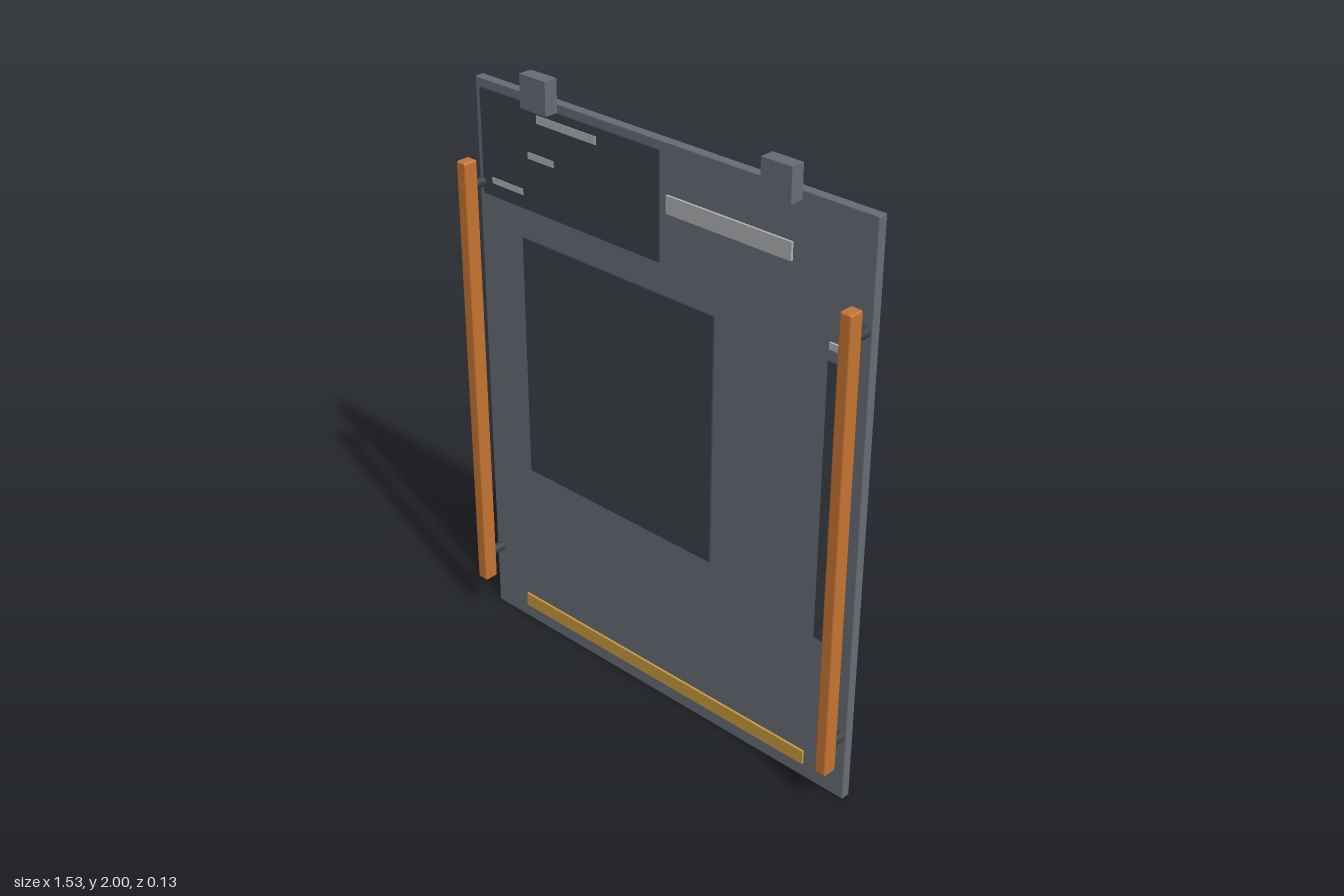
import * as THREE from 'three';
import { RoundedBoxGeometry } from 'three/addons/geometries/RoundedBoxGeometry.js';

const material = (name, color) => {
  const m = new THREE.MeshStandardMaterial({ color });
  m.name = name;
  return m;
};

export function createModel() {
  const model = new THREE.Group();
  model.name = 'panelWithRails';

  const grey = material('panel grey', 0x686d75);
  const dark = material('dark grey', 0x3b4047);
  const light = material('label grey', 0xb0b2b4);
  const gold = material('gold', 0xc99a3d);
  const copper = material('copper orange', 0xc87533);

  const panelFront = -0.031;

  const add = (name, geometry, mat, x, y, z) => {
    const mesh = new THREE.Mesh(geometry, mat);
    mesh.name = name;
    mesh.position.set(x, y, z);
    model.add(mesh);
    return mesh;
  };

  // Thin plate on the front of the panel, given by its edges
  const plate = (name, mat, x0, x1, y0, y1, thickness) =>
    add(name, new THREE.BoxGeometry(x1 - x0, y1 - y0, thickness), mat,
      (x0 + x1) / 2, (y0 + y1) / 2, panelFront + thickness / 2);

  // Main slab with slightly eased edges
  add('panel', new RoundedBoxGeometry(1.534, 1.922, 0.032, 2, 0.004), grey, 0, 0.961, -0.047);

  // Dark areas
  plate('upperDarkArea', dark, -0.743, 0, 1.55, 1.894, 0.006);
  plate('centreDarkArea', dark, -0.574, 0.214, 0.614, 1.45, 0.006);
  plate('sideDarkArea', dark, 0.629, 0.722, 0.542, 1.461, 0.006);

  // Pale label strips
  const labels = [
    [-0.495, -0.246, 1.841, 1.867],
    [-0.537, -0.426, 1.72, 1.741],
    [-0.701, -0.564, 1.594, 1.614],
    [0.029, 0.489, 1.711, 1.767],
    [0.632, 0.722, 1.497, 1.518],
  ];
  for (const [x0, x1, y0, y1] of labels) plate('labelStrip', light, x0, x1, y0, y1, 0.008);

  // Gold strip along the bottom
  plate('goldStrip', gold, -0.616, 0.611, 0.053, 0.101, 0.008);

  for (const side of [-1, 1]) {
    // Hanging tab on the top edge
    add('hangingTab', new THREE.BoxGeometry(0.107, 0.106, 0.047), grey,
      side < 0 ? -0.465 : 0.46, 1.947, -0.0075);

    // Side rail on two standoffs
    add('sideRail', new RoundedBoxGeometry(0.042, 1.532, 0.05, 2, 0.007), copper,
      side * 0.746, 0.909, 0.038);
    for (const y of [0.235, 1.588]) {
      const post = add('railStandoff', new THREE.CylinderGeometry(0.016, 0.016, 0.052, 16), dark,
        side * 0.746, y, -0.008);
      post.rotation.x = Math.PI / 2;
    }
  }
  return model;
}
